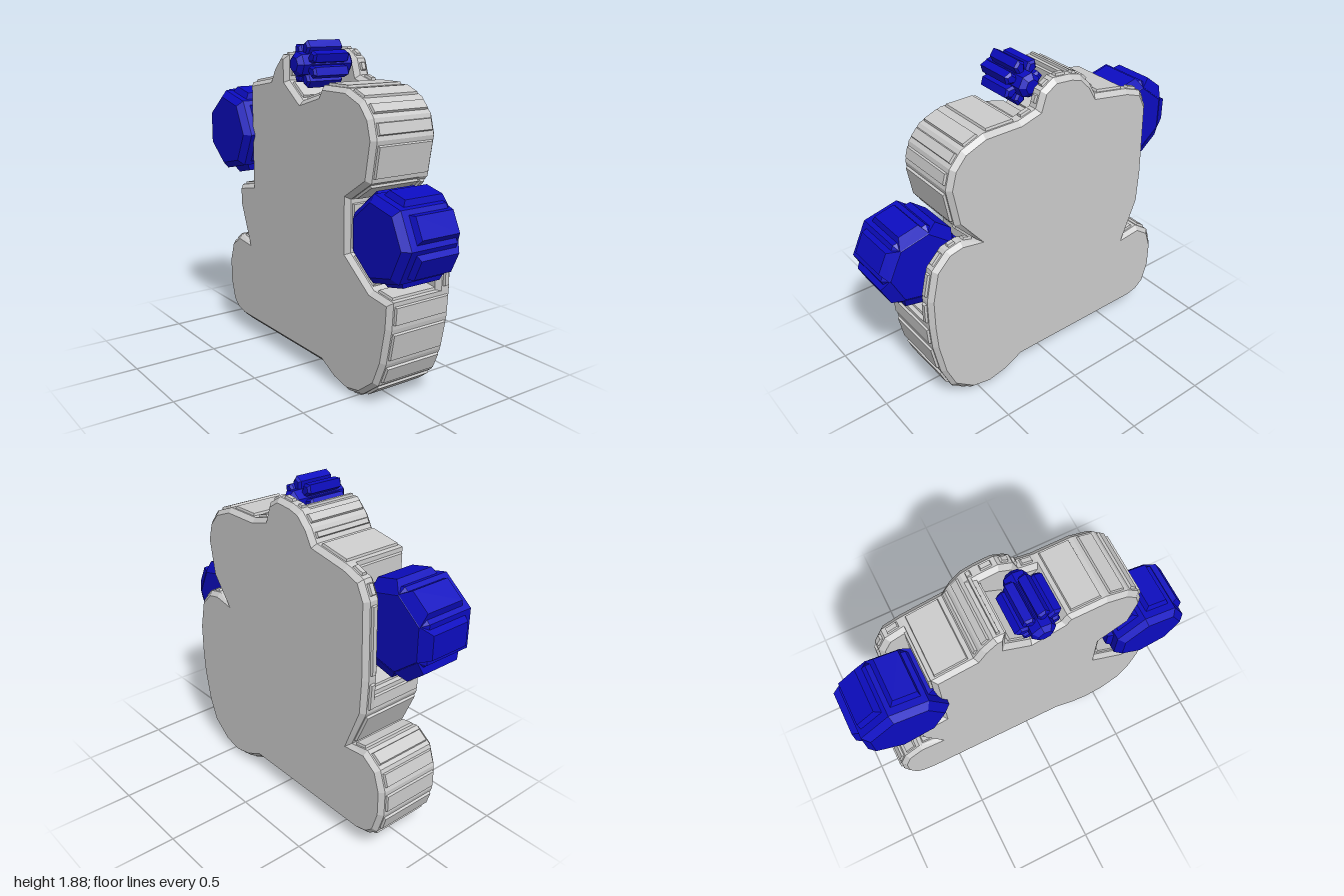
import * as THREE from 'three';

const grey = new THREE.MeshStandardMaterial({ color: 0xcccccc, flatShading: true });
const blue = new THREE.MeshStandardMaterial({ color: 0x0c0cc0, flatShading: true });

function add(parent, name, geometry, material) {
  const mesh = new THREE.Mesh(geometry, material);
  mesh.name = name;
  parent.add(mesh);
  return mesh;
}

// Prism with chamfered rims that keeps the outline as its widest section
function slab(points, zBack, zFront, bevel) {
  const shape = new THREE.Shape(points.map(([x, y]) => new THREE.Vector2(x, y)));
  return new THREE.ExtrudeGeometry(shape, {
    depth: zFront - zBack - 2 * bevel, bevelEnabled: true, bevelSegments: 1,
    bevelSize: bevel, bevelThickness: bevel, bevelOffset: -bevel,
  }).translate(0, 0, zBack + bevel);
}

// Raised panel: a box whose outer (+y) face is inset
function panel(length, thickness, depth, inset) {
  const sunk = 0.03;
  const geometry = new THREE.BoxGeometry(length, thickness + sunk, depth);
  const p = geometry.attributes.position;
  for (let i = 0; i < p.count; i++) {
    if (p.getY(i) < 0) continue;
    p.setX(i, p.getX(i) - Math.sign(p.getX(i)) * Math.min(inset, length * 0.25));
    p.setZ(i, p.getZ(i) - Math.sign(p.getZ(i)) * inset);
  }
  return geometry.translate(0, (thickness - sunk) / 2, 0);
}

// One raised panel along each edge of a counter-clockwise outline
function edgePanels(parent, name, points, zBack, zFront) {
  points.forEach(([x0, y0], i) => {
    const [x1, y1] = points[(i + 1) % points.length];
    const length = Math.hypot(x1 - x0, y1 - y0);
    if (length < 0.06) return;
    const mesh = add(parent, name, panel(length - 0.03, 0.013, zFront - zBack, 0.013), grey);
    mesh.position.set((x0 + x1) / 2, (y0 + y1) / 2, (zBack + zFront) / 2);
    mesh.rotation.z = Math.atan2(y1 - y0, x1 - x0) + Math.PI;
  });
}

function ring(sides, radius) {
  return Array.from({ length: sides }, (_, i) => {
    const a = (i / sides) * Math.PI * 2;
    return [radius * Math.cos(a), radius * Math.sin(a)];
  });
}

// Seven-sided drum with a raised block on each side
function drum(name, x, y, radius, thickness) {
  const group = new THREE.Group();
  group.name = name;
  group.position.set(x, y, 0);
  add(group, 'drumCore', slab(ring(7, radius), -0.12, 0.24, 0.035), blue);
  const apothem = radius * Math.cos(Math.PI / 7);
  const side = 2 * radius * Math.sin(Math.PI / 7);
  for (let i = 0; i < 7; i++) {
    const a = ((i + 0.5) / 7) * Math.PI * 2;
    const block = add(group, 'drumBlock', panel(side * 0.88, thickness, 0.3, 0.03), blue);
    block.position.set(apothem * Math.cos(a), apothem * Math.sin(a), 0.03);
    block.rotation.z = a - Math.PI / 2;
  }
  return group;
}

// Small seven-pointed flower
function flower(x, y) {
  const group = new THREE.Group();
  group.name = 'smallFlower';
  group.position.set(x, y, 0);
  add(group, 'flowerCore', slab(ring(7, 0.068), -0.12, 0.24, 0.025), blue);
  const petal = [[-0.018, 0.045], [0.018, 0.045], [0.034, 0.1], [0, 0.13], [-0.034, 0.1]];
  for (let i = 0; i < 7; i++) {
    const mesh = add(group, 'petal', slab(petal, -0.05, 0.18, 0.012), blue);
    mesh.rotation.z = ((i + 0.5) / 7) * Math.PI * 2 - Math.PI / 2;
  }
  return group;
}

export function createModel() {
  const model = new THREE.Group();
  model.name = 'model';

  // Outline stretches shared by the front block and the back plate
  const base = [[-0.68, 0.1], [0.2, 0.1], [0.32, 0.04], [0.44, 0.015], [0.56, 0.04],
    [0.69, 0.14], [0.75, 0.28], [0.79, 0.48], [0.8, 0.63]];
  const shoulder = [[0.61, 1.2], [0.65, 1.42], [0.62, 1.53], [0.55, 1.61], [0.42, 1.66], [0.2, 1.66]];
  const ear = [[-0.2, 1.8], [-0.27, 1.73], [-0.31, 1.66], [-0.54, 1.62]];
  const foot = [[-0.7, 0.85], [-0.6, 0.62], [-0.72, 0.64], [-0.82, 0.57], [-0.86, 0.45],
    [-0.86, 0.3], [-0.82, 0.17], [-0.76, 0.12]];

  // Front block, notched around the three blue parts
  const front = [
    ...base, [0.64, 0.65], [0.44, 0.8], [0.44, 1.09],
    ...shoulder, [0.17, 1.61], [0, 1.56], [-0.14, 1.66], [-0.14, 1.8],
    ...ear, [-0.54, 1.0], [-0.7, 0.97],
    ...foot,
  ];
  add(model, 'frontBlock', slab(front, -0.239, 0.18, 0.025), grey);
  edgePanels(model, 'wallPanel', front, -0.205, 0.155);

  // Back plate with the whole silhouette
  const back = [
    ...base, [0.8, 0.8], [0.76, 0.98], [0.67, 1.07], [0.58, 1.09], [0.48, 1.06],
    ...shoulder, [0.09, 1.69], [0.06, 1.78], [-0.02, 1.83], [-0.13, 1.82],
    ...ear, [-0.65, 1.58], [-0.7, 1.48], [-0.71, 1.05],
    ...foot,
  ];
  add(model, 'backPlate', slab(back, -0.24, -0.14, 0.025), grey);
  edgePanels(model, 'platePanel', back, -0.215, -0.165);

  // Blue parts set into the notches
  model.add(drum('rightDrum', -0.74, 1.31, 0.25, 0.035));
  model.add(drum('leftDrum', 0.75, 0.945, 0.235, 0.03));
  model.add(flower(0.035, 1.76));
  return model;
}
